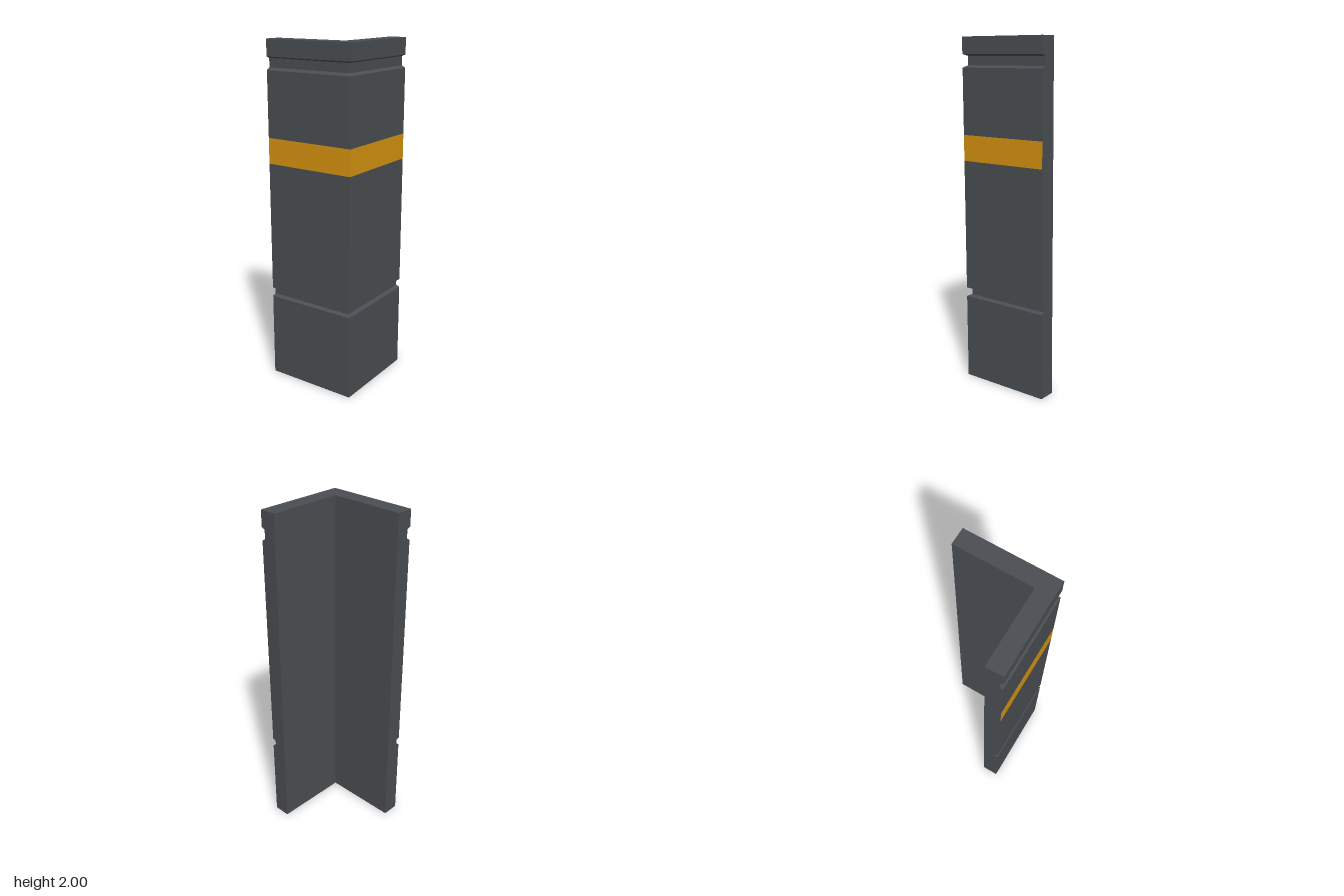
import * as THREE from 'three';

const OUT = 0.275, INNER = 0.175, GROOVE = 0.022;

// L-shaped section, counterclockwise from above; depth cuts into the two outer faces
function section([y, depth]) {
  const o = OUT - depth;
  return [[-OUT, o], [o, o], [o, -OUT], [INNER, -OUT], [INNER, INNER], [-OUT, INNER]]
    .map(([x, z]) => [x, y, z]);
}

function meshFromQuads(name, quads, material) {
  const positions = quads.flatMap(([a, b, c, d]) => [a, b, c, a, c, d].flat());
  const geometry = new THREE.BufferGeometry();
  geometry.setAttribute('position', new THREE.Float32BufferAttribute(positions, 3));
  geometry.computeVertexNormals();
  const mesh = new THREE.Mesh(geometry, material);
  mesh.name = name;
  return mesh;
}

export function createModel() {
  const group = new THREE.Group();
  group.name = 'cornerGuard';
  const rubber = new THREE.MeshStandardMaterial({ name: 'dark grey rubber', color: 0x4a4e52 });
  const amber = new THREE.MeshStandardMaterial({ name: 'amber stripe', color: 0xd4920f });

  // Heights and groove depths up the guard
  const levels = [
    [0, 0], [0.5, 0], [0.51, GROOVE], [0.545, GROOVE], [0.553, 0],
    [1.31, 0], [1.458, 0],
    [1.832, 0], [1.845, GROOVE], [1.896, GROOVE], [1.905, 0], [2, 0],
  ];
  const stripeRow = 5;
  const rings = levels.map(section);
  const body = [], stripe = [];

  // Walls: sides 0 and 1 are the outer faces that carry the flush stripe
  for (let r = 0; r < rings.length - 1; r++) {
    for (let s = 0; s < 6; s++) {
      const n = (s + 1) % 6;
      const quad = [rings[r][s], rings[r][n], rings[r + 1][n], rings[r + 1][s]];
      (r === stripeRow && s < 2 ? stripe : body).push(quad);
    }
  }

  // Top and bottom caps, one quad per leg
  const top = rings[rings.length - 1], bottom = rings[0];
  for (const leg of [[0, 1, 4, 5], [1, 2, 3, 4]]) {
    body.push(leg.map((i) => top[i]));
    body.push([...leg].reverse().map((i) => bottom[i]));
  }

  group.add(meshFromQuads('guardBody', body, rubber));
  group.add(meshFromQuads('warningStripe', stripe, amber));
  return group;
}
